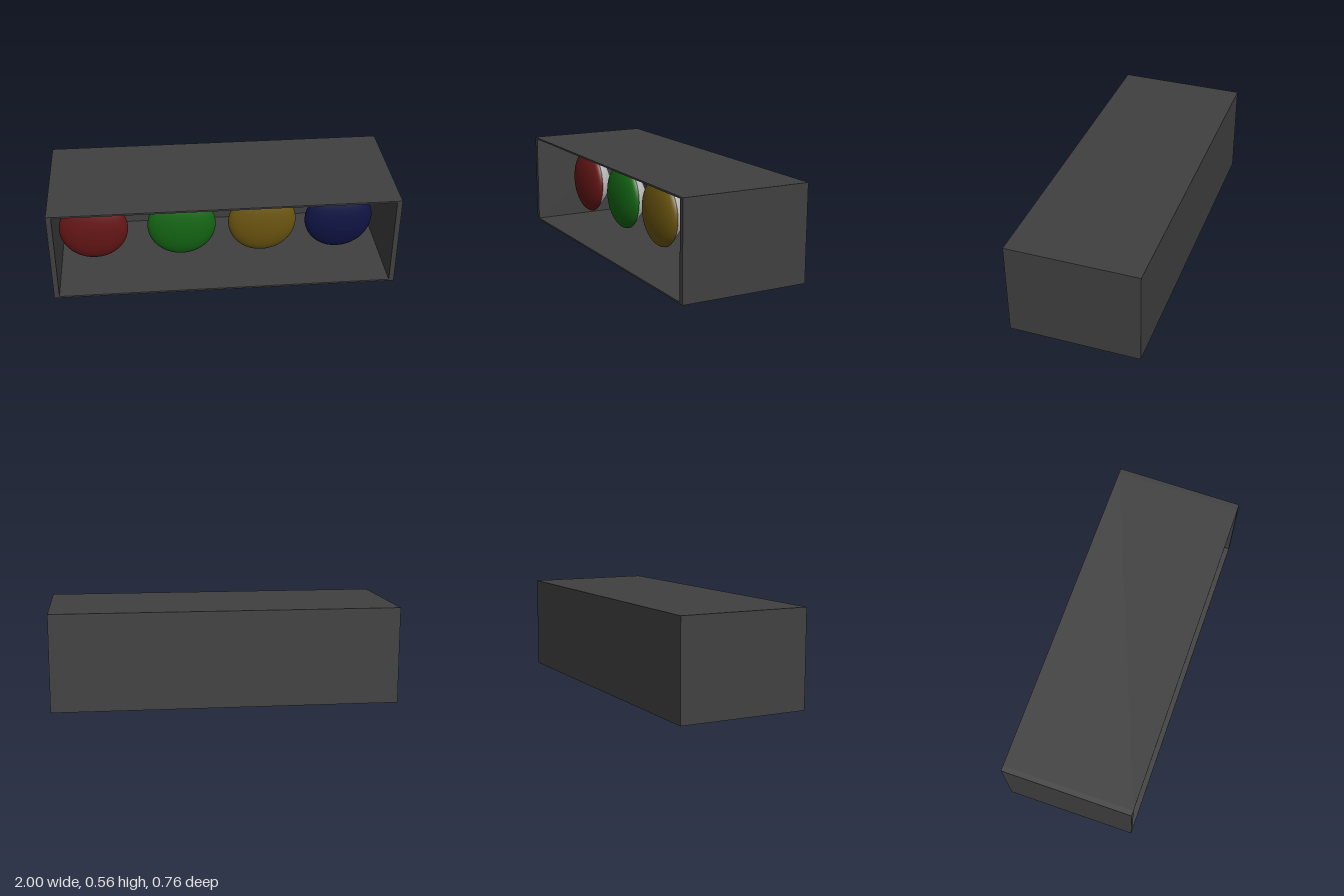
import * as THREE from 'three';

const W = 2, H = 0.56, D = 0.76, SIDE = 0.03, SKIN = 0.01;
const LENS_R = 0.203, LENS_Z = 0.095, LENS_Y = 0.283;

export function createModel() {
  const model = new THREE.Group();
  model.name = 'lampBox';

  const casing = new THREE.MeshStandardMaterial({ color: 0x404040 });
  const grey = new THREE.MeshStandardMaterial({ color: 0xcccccc, side: THREE.DoubleSide });

  const panel = (name, w, h, d, x, y, z) => {
    const mesh = new THREE.Mesh(new THREE.BoxGeometry(w, h, d), casing);
    mesh.name = name;
    mesh.position.set(x, y, z);
    model.add(mesh);
  };

  // Open-fronted casing
  const innerW = W - 2 * SIDE, innerH = H - 2 * SKIN;
  panel('leftWall', SIDE, H, D, W / 2 - SIDE / 2, H / 2, 0);
  panel('rightWall', SIDE, H, D, -W / 2 + SIDE / 2, H / 2, 0);
  panel('topPanel', innerW, SKIN, D, 0, H - SKIN / 2, 0);
  panel('bottomPanel', innerW, SKIN, D, 0, SKIN / 2, 0);
  panel('backPanel', innerW, innerH, SKIN, 0, H / 2, -D / 2 + SKIN / 2);

  // Shallow coloured lens
  const lensGeometry = new THREE.SphereGeometry(LENS_R, 40, 16, 0, Math.PI * 2, 0, Math.PI / 2);
  lensGeometry.scale(1, 0.07 / LENS_R, 1);
  lensGeometry.rotateX(Math.PI / 2);

  // Curved reflector dish behind each lens
  const dishProfile = [];
  for (let i = 0; i <= 12; i++) {
    const t = i / 12;
    dishProfile.push(new THREE.Vector2(LENS_R * t, -0.13 * (1 - t * t)));
  }
  const dishGeometry = new THREE.LatheGeometry(dishProfile, 40);
  dishGeometry.rotateX(Math.PI / 2);

  // Row of four lamps
  const lamps = [
    ['red', -0.76, 0x661616],
    ['green', -0.24, 0x146614],
    ['amber', 0.24, 0x6b5510],
    ['blue', 0.7, 0x101444],
  ];
  for (const [name, x, color] of lamps) {
    const lamp = new THREE.Group();
    lamp.name = name + 'Lamp';
    lamp.position.set(x, LENS_Y, LENS_Z);
    const lens = new THREE.Mesh(lensGeometry,
      new THREE.MeshStandardMaterial({ color, side: THREE.DoubleSide }));
    lens.name = name + 'Lens';
    const dish = new THREE.Mesh(dishGeometry, grey);
    dish.name = name + 'Reflector';
    lamp.add(lens, dish);
    model.add(lamp);
  }
  return model;
}
